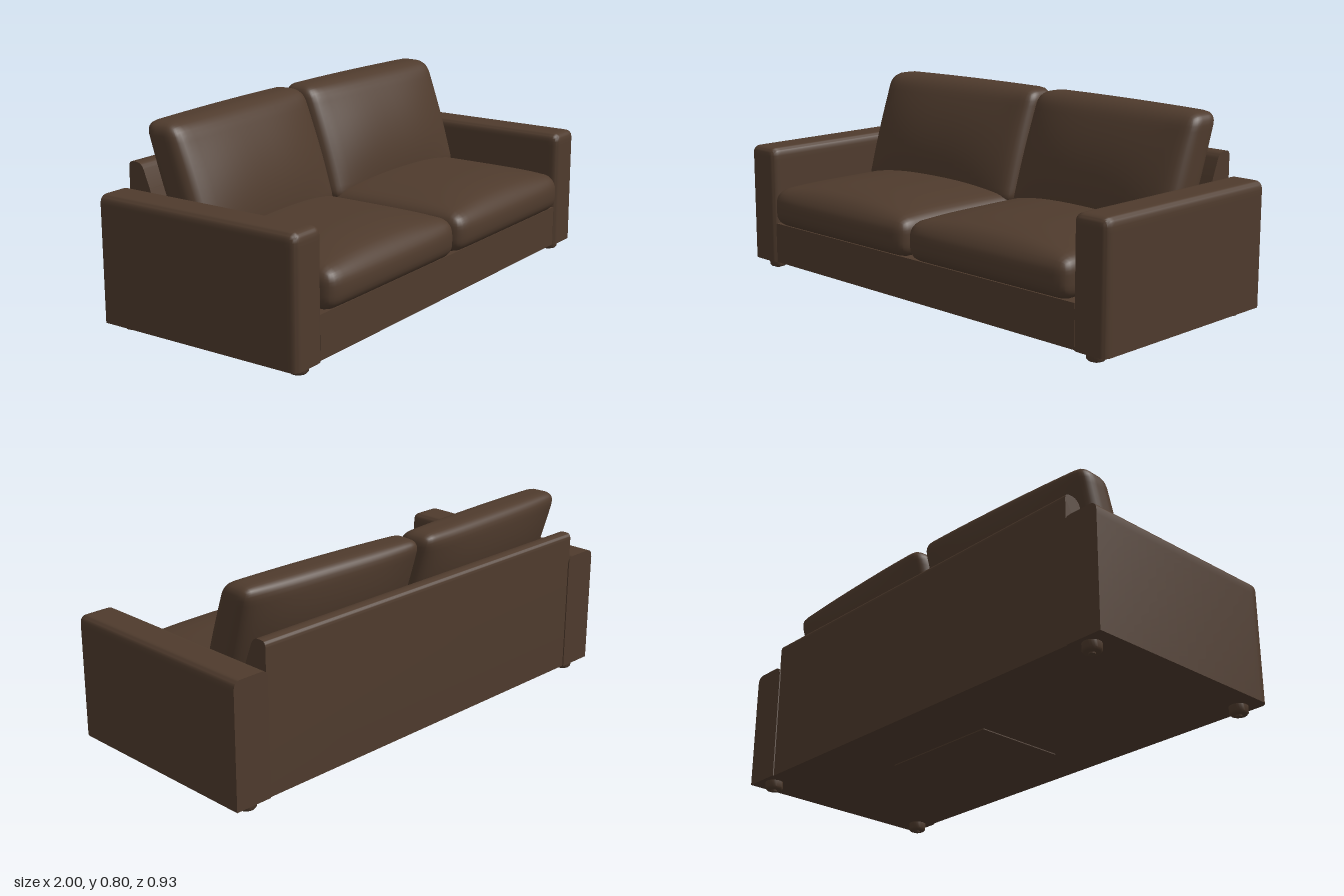
import * as THREE from 'three';
import { mergeVertices, toCreasedNormals } from 'three/addons/utils/BufferGeometryUtils.js';

// Box between two corners with edges rounded by r; "sharp" lists the faces whose rims stay crisp.
function softBox(lo, hi, r, seg, sharp = [], warp = null) {
  const geo = new THREE.BoxGeometry(2, 2, 2, ...seg);
  geo.deleteAttribute('uv');
  geo.deleteAttribute('normal');
  const g = mergeVertices(geo);
  const a = new THREE.Vector3(...lo), b = new THREE.Vector3(...hi);
  const inLo = a.clone().addScalar(r), inHi = b.clone().subScalar(r);
  for (const axis of sharp) inLo[axis] = a[axis];
  const pos = g.attributes.position, p = new THREE.Vector3(), q = new THREE.Vector3();
  for (let i = 0; i < pos.count; i++) {
    p.fromBufferAttribute(pos, i);
    for (const k of ['x', 'y', 'z']) {
      const t = Math.sin(p[k] * Math.PI / 2); // crowd the rows towards the edges
      p[k] = THREE.MathUtils.lerp(a[k], b[k], (t + 1) / 2);
    }
    q.copy(p).clamp(inLo, inHi);
    const d = p.clone().sub(q), len = d.length();
    if (len > 1e-9) {
      d.multiplyScalar(Math.max(Math.abs(d.x), Math.abs(d.y), Math.abs(d.z)) / len);
      p.copy(q).add(d);
    }
    if (warp) warp(p);
    pos.setXYZ(i, p.x, p.y, p.z);
  }
  g.computeVertexNormals();
  return sharp.length ? toCreasedNormals(g, 0.7) : g;
}

const dome = (t, power = 2) => 1 - Math.min(1, Math.abs(t)) ** power;

export function createModel() {
  const sofa = new THREE.Group();
  sofa.name = 'sofa';
  const leather = new THREE.MeshStandardMaterial({ color: 0x4f3b2d });
  leather.name = 'brown leather';

  const add = (name, geo, x = 0, y = 0, z = 0) => {
    const mesh = new THREE.Mesh(geo, leather);
    mesh.name = name;
    mesh.position.set(x, y, z);
    sofa.add(mesh);
    return mesh;
  };

  // Base frame and the thin panel beneath it
  add('base', new THREE.BoxGeometry(1.7, 0.17, 0.87), 0, 0.125, -0.015);
  add('underPanel', new THREE.BoxGeometry(0.53, 0.006, 0.39), 0.145, 0.039, 0.02);

  // Backrest with a sloping front and rounded top, extruded across the width
  const profile = new THREE.Shape();
  profile.moveTo(-0.46, 0.04);
  profile.lineTo(-0.26, 0.04);
  profile.lineTo(-0.28, 0.3);
  profile.lineTo(-0.36, 0.54);
  profile.lineTo(-0.388, 0.61);
  profile.quadraticCurveTo(-0.4, 0.634, -0.425, 0.634);
  profile.lineTo(-0.442, 0.634);
  profile.quadraticCurveTo(-0.46, 0.632, -0.46, 0.61);
  profile.closePath();
  const back = new THREE.ExtrudeGeometry(profile, { depth: 1.7, bevelEnabled: false, curveSegments: 8 });
  back.rotateY(-Math.PI / 2); // profile x becomes z
  back.translate(0.85, 0, 0);
  add('backrest', toCreasedNormals(back, 0.6));

  // Seat cushion: crowned top, bulging front
  const seat = softBox([-0.415, 0.207, -0.3], [0.415, 0.365, 0.448], 0.055, [24, 14, 24], [], p => {
    const u = p.x / 0.415, v = (p.z - 0.074) / 0.374, h = (p.y - 0.286) / 0.079;
    if (h > 0) p.y += 0.045 * dome(u, 2.5) * dome(v, 4) * h;
    if (v > 0) p.z += 0.017 * dome(h) * dome(u, 6) * v;
  });

  // Back cushion: plump, tapering to the top and leaning backwards
  const pillow = softBox([-0.427, 0.33, -0.075], [0.427, 0.797, 0.075], 0.05, [24, 24, 14], [], p => {
    const u = p.x / 0.427, v = (p.y - 0.555) / 0.245;
    p.z += Math.sign(p.z) * Math.min(1, Math.abs(p.z) / 0.04) * 0.052 * dome(u, 3) * dome(v);
    p.x *= 1 - 0.015 * dome(u, 2) - 0.008 * Math.max(0, -v);
    p.z -= 0.34 * (p.y - 0.53);
    p.y += 0.004 * dome(u) * Math.max(0, v);
  });

  // Arm: soft top and front, crisp bottom and back
  const arm = softBox([-0.078, 0.04, -0.465], [0.078, 0.533, 0.43], 0.03, [16, 24, 28], ['y', 'z']);

  // Foot: short turned stub
  const foot = toCreasedNormals(new THREE.LatheGeometry(
    [[0, 0], [0.012, 0], [0.013, 0.005], [0.03, 0.007], [0.036, 0.014], [0.036, 0.045], [0, 0.045]]
      .map(([x, y]) => new THREE.Vector2(x, y)), 24), 0.8);

  for (const [side, s] of [['left', 1], ['right', -1]]) {
    add(side + 'Arm', arm, s * 0.922);
    add(side + 'SeatCushion', seat, s * 0.42);
    add(side + 'BackCushion', pillow, s * 0.43, 0, -0.238).rotation.y = -s * 0.05;
    add(side + 'FrontFoot', foot, s * 0.91, 0, 0.37);
    add(side + 'RearFoot', foot, s * 0.91, 0, -0.41);
  }
  return sofa;
}
